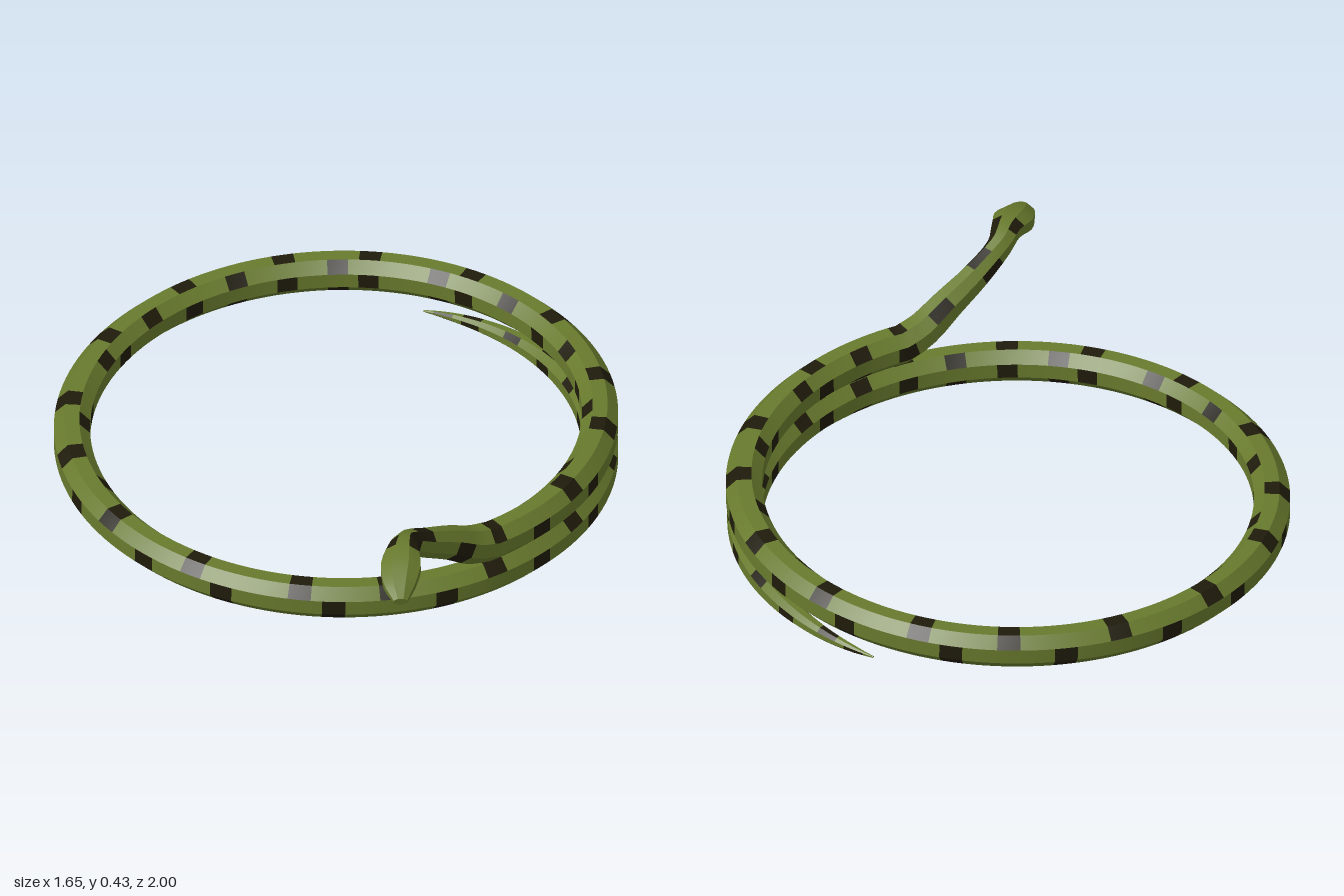
import * as THREE from 'three';
import { toCreasedNormals } from 'three/addons/utils/BufferGeometryUtils.js';

const SIDES = 8;
const QUARTER = 38;         // rings in a quarter turn of the coil
const STEP = 90 / QUARTER;  // degrees between rings
const START = 61;           // angle where the neck leaves the coil
const HEAD_RINGS = 24;      // rings from the nose to where the coil begins
const COIL_RINGS = 205;
const COIL_RADIUS = 0.772, COIL_Z = -0.175;

// Head and neck stations from the nose back: x, y, z, half width, half height
const HEAD = [
  [0.065, 0.352, 0.998, 0.020, 0.013],
  [0.068, 0.366, 0.940, 0.046, 0.030],
  [0.080, 0.385, 0.870, 0.058, 0.038],
  [0.095, 0.398, 0.800, 0.043, 0.034],
  [0.110, 0.378, 0.745, 0.034, 0.036],
  [0.170, 0.323, 0.675, 0.038, 0.041],
  [0.245, 0.267, 0.605, 0.045, 0.047],
  [0.315, 0.210, 0.545, 0.051, 0.053],
  [0.374, 0.184, 0.500, 0.053, 0.055],
];

// Centre line with half width and half height, from nose to tail tip
function stations() {
  const list = [];
  const path = new THREE.CatmullRomCurve3(HEAD.map((s) => new THREE.Vector3(s[0], s[1], s[2])));
  const size = new THREE.CatmullRomCurve3(HEAD.map((s, i) => new THREE.Vector3(s[3], s[4], i * 0.05)));
  for (let i = 0; i < HEAD_RINGS; i++) {
    const s = size.getPoint(i / HEAD_RINGS);
    list.push({ p: path.getPoint(i / HEAD_RINGS), w: s.x, h: s.y });
  }
  for (let i = 0; i <= COIL_RINGS; i++) {
    const deg = START - i * STEP, a = THREE.MathUtils.degToRad(deg);
    // the last part of the coil tapers into the tail and sinks a little
    const taper = Math.max(0.05, Math.min(1, ((COIL_RINGS - i) * STEP) / 68) ** 0.65);
    const y = 0.165 + 0.00031 * deg - 0.01 * (1 - taper);
    list.push({
      p: new THREE.Vector3(COIL_RADIUS * Math.cos(a), y, COIL_Z + COIL_RADIUS * Math.sin(a)),
      w: 0.053 * taper, h: 0.055 * taper,
    });
  }
  return list;
}

// Dark bands: four per quarter turn, staggered between neighbouring strips.
// Faces run from 0 (outer wall) over 2 (top) and 4 (inner wall) to 6 (underside).
function isBand(i, j) {
  if (i < 8) return false;
  if (i < 13 && j < 2) return true;   // patch behind the head
  const shift = [1, 2, 4, 6].includes(j) ? -10 : 13;
  const q = (i - HEAD_RINGS - shift + 2 * QUARTER) % QUARTER;
  return q === QUARTER - 1 || q % 10 === 0 || q % 10 === 9;
}

function snakeGeometry() {
  const list = stations(), n = list.length;
  const positions = [], plain = [], bands = [];
  const up = new THREE.Vector3(0, 1, 0);
  list.forEach(({ p, w, h }, i) => {
    const t = list[Math.min(i + 1, n - 1)].p.clone().sub(list[Math.max(i - 1, 0)].p).normalize();
    const side = t.clone().cross(up).normalize();
    const top = side.clone().cross(t);
    for (let j = 0; j < SIDES; j++) {
      const a = ((j - 0.5) / SIDES) * Math.PI * 2, k = 1 / Math.cos(Math.PI / SIDES);
      const v = p.clone().addScaledVector(side, w * k * Math.cos(a)).addScaledVector(top, h * k * Math.sin(a));
      positions.push(v.x, v.y, v.z);
    }
  });
  const at = (i, j) => i * SIDES + (j % SIDES);
  for (let i = 0; i < n - 1; i++) {
    for (let j = 0; j < SIDES; j++) {
      const a = at(i, j), b = at(i + 1, j), c = at(i + 1, j + 1), d = at(i, j + 1);
      (isBand(i, j) ? bands : plain).push(a, b, c, a, c, d);
    }
  }
  // close the nose and the tail tip
  for (let j = 1; j < SIDES - 1; j++) {
    plain.push(at(0, 0), at(0, j), at(0, j + 1));
    plain.push(at(n - 1, 0), at(n - 1, j + 1), at(n - 1, j));
  }
  const geo = new THREE.BufferGeometry();
  geo.setAttribute('position', new THREE.Float32BufferAttribute(positions, 3));
  geo.setIndex([...plain, ...bands]);
  geo.addGroup(0, plain.length, 0);
  geo.addGroup(plain.length, bands.length, 1);
  return toCreasedNormals(geo, 0.35);
}

export function createModel() {
  const oliveGreen = new THREE.MeshStandardMaterial({ color: 0x687a2d });
  oliveGreen.name = 'oliveGreen';
  const darkBrown = new THREE.MeshStandardMaterial({ color: 0x1f1b0b });
  darkBrown.name = 'darkBrown';

  const group = new THREE.Group();
  group.name = 'coiledSnake';
  const body = new THREE.Mesh(snakeGeometry(), [oliveGreen, darkBrown]);
  body.name = 'snakeBody';
  group.add(body);
  return group;
}
